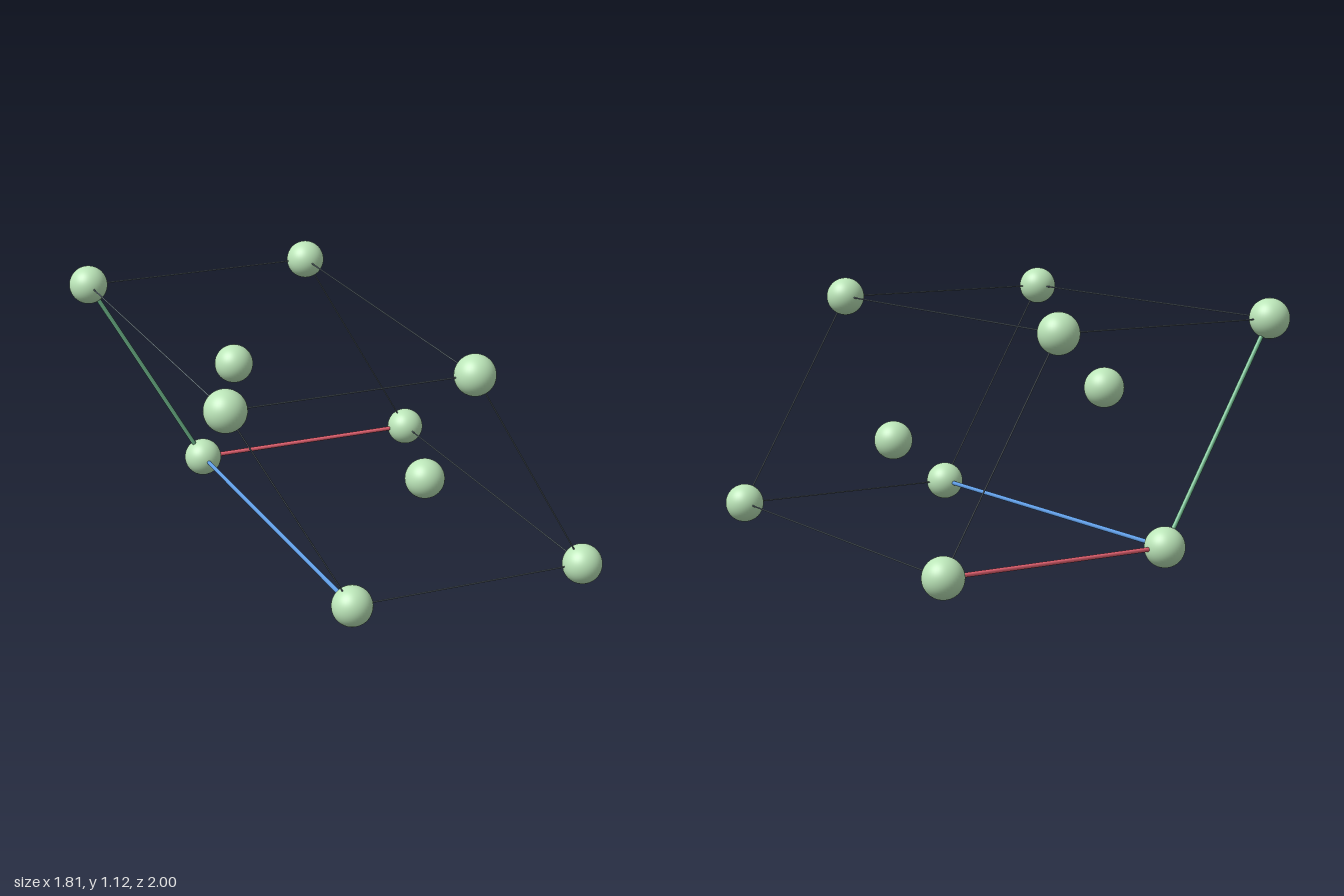
import * as THREE from 'three';

const RADIUS = 0.088;
const ORIGIN = new THREE.Vector3(-0.272, 0.088, -0.912);
// Cell vectors: a along x, b at 120 degrees to it, c along z
const A = new THREE.Vector3(1.086, 0, 0);
const B = new THREE.Vector3(-0.543, 0.94, 0);
const C = new THREE.Vector3(0, 0, 1.824);

const material = (name, color) => {
  const m = new THREE.MeshStandardMaterial({ color });
  m.name = name;
  return m;
};

// Fractional cell coordinates to a position
const cellPoint = (u, v, w) => ORIGIN.clone()
  .addScaledVector(A, u).addScaledVector(B, v).addScaledVector(C, w);

function rod(name, start, end, radius, mat) {
  const dir = end.clone().sub(start);
  const mesh = new THREE.Mesh(new THREE.CylinderGeometry(radius, radius, dir.length(), 12), mat);
  mesh.name = name;
  mesh.position.copy(start).add(end).multiplyScalar(0.5);
  mesh.quaternion.setFromUnitVectors(new THREE.Vector3(0, 1, 0), dir.normalize());
  return mesh;
}

export function createModel() {
  const model = new THREE.Group();
  model.name = 'crystalUnitCell';
  const atomGreen = material('pale green', 0xbbe5b8);
  const edgeGrey = material('edge slate', 0x6c7a86);
  const axisMats = [
    material('axis red', 0xea6474),
    material('axis green', 0x74c092),
    material('axis blue', 0x5f9ce4),
  ];
  const axisNames = ['axisA', 'axisB', 'axisC'];

  // Atoms: eight corners and two inside the cell
  const sites = [[1 / 3, 2 / 3, 0.25], [2 / 3, 1 / 3, 0.75]];
  for (const u of [0, 1]) for (const v of [0, 1]) for (const w of [0, 1]) sites.push([u, v, w]);
  const ball = new THREE.SphereGeometry(RADIUS, 40, 28);
  sites.forEach((site, i) => {
    const atom = new THREE.Mesh(ball, atomGreen);
    atom.name = i < 2 ? 'innerAtom' : 'cornerAtom';
    atom.position.copy(cellPoint(...site));
    model.add(atom);
  });

  // Four parallel edges per direction; those at the origin are coloured axes
  for (let k = 0; k < 3; k++) {
    for (const s of [0, 1]) for (const t of [0, 1]) {
      const from = [0, 0, 0];
      from[(k + 1) % 3] = s;
      from[(k + 2) % 3] = t;
      const to = [...from];
      to[k] = 1;
      const isAxis = s + t === 0;
      model.add(rod(isAxis ? axisNames[k] : 'cellEdge', cellPoint(...from), cellPoint(...to),
        isAxis ? 0.01 : 0.0032, isAxis ? axisMats[k] : edgeGrey));
    }
  }
  return model;
}
